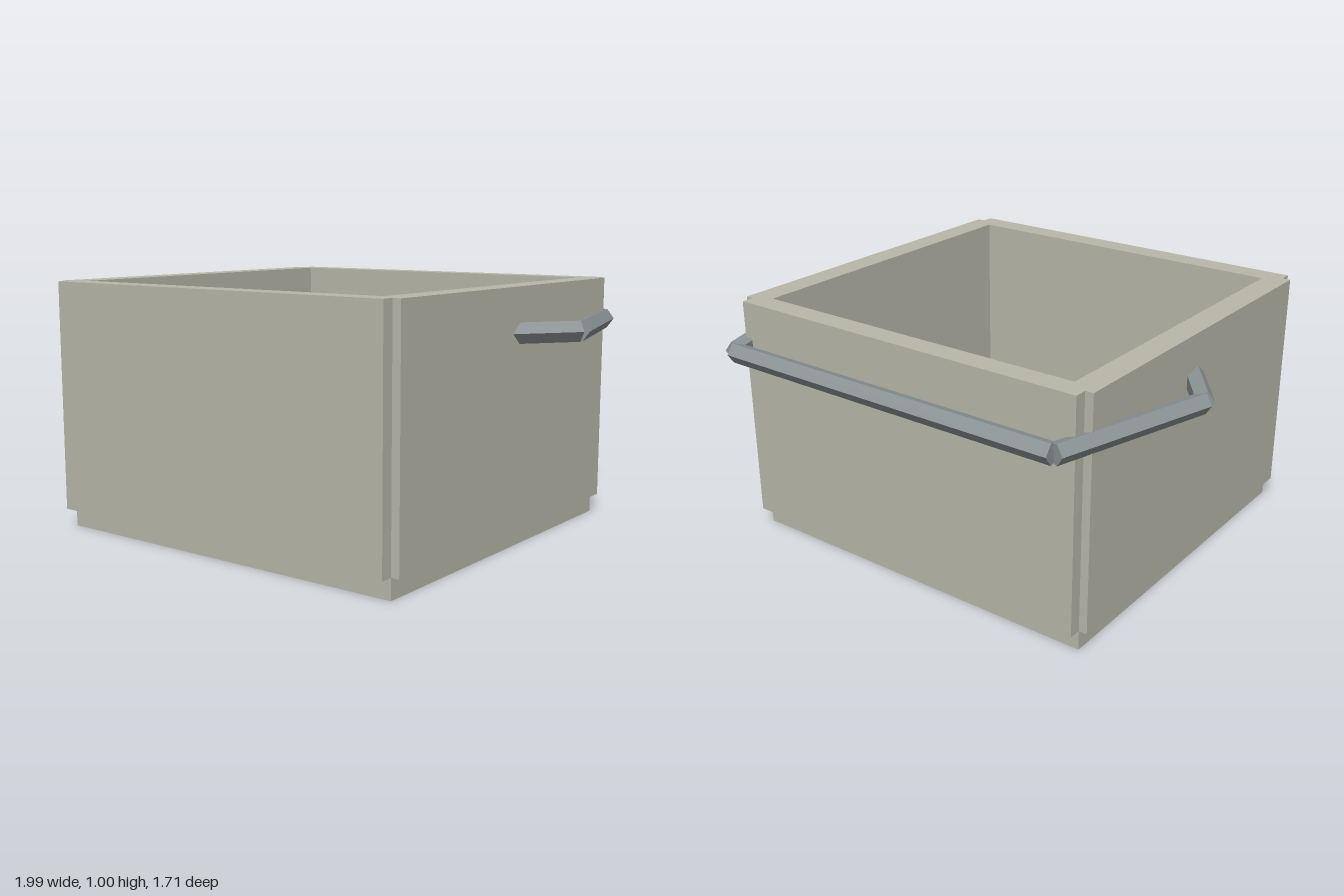
import * as THREE from 'three';

const stone = new THREE.MeshStandardMaterial({ color: 0xb8b7a9, flatShading: true });
stone.name = 'pale stone';
const metal = new THREE.MeshStandardMaterial({ color: 0x8c9496, flatShading: true });
metal.name = 'grey metal';

// Five-sided bar between two points, with one edge turned towards "outward"
function bar(name, from, to, outward) {
  const dir = to.clone().sub(from);
  const length = dir.length();
  dir.normalize();
  const side = dir.clone().cross(outward).normalize();
  const edge = side.clone().cross(dir).normalize();
  const mesh = new THREE.Mesh(new THREE.CylinderGeometry(0.042, 0.042, length, 5), metal);
  mesh.quaternion.setFromRotationMatrix(new THREE.Matrix4().makeBasis(side, dir, edge));
  mesh.position.copy(from).add(to).multiplyScalar(0.5);
  mesh.name = name;
  return mesh;
}

export function createModel() {
  const group = new THREE.Group();
  group.name = 'handledBox';
  const v = (x, y, z) => new THREE.Vector3(x, y, z);

  // Walls: a rectangle with stepped corners and an open middle (shape y is -z)
  const outline = [
    [-0.785, -0.855], [0.785, -0.855], [0.785, -0.805], [0.818, -0.805],
    [0.818, 0.68], [0.785, 0.68], [0.785, 0.73], [-0.785, 0.73],
    [-0.785, 0.68], [-0.818, 0.68], [-0.818, -0.805], [-0.785, -0.805],
  ];
  const inner = [[-0.715, -0.755], [-0.715, 0.637], [0.715, 0.637], [0.715, -0.755]];
  const points = (list) => list.map(([x, y]) => new THREE.Vector2(x, y));
  const shape = new THREE.Shape(points(outline));
  shape.holes.push(new THREE.Path(points(inner)));
  const wallGeometry = new THREE.ExtrudeGeometry(shape, { depth: 0.92, bevelEnabled: false });
  wallGeometry.rotateX(-Math.PI / 2).translate(0, 0.08, 0);
  const walls = new THREE.Mesh(wallGeometry, stone);
  walls.name = 'walls';
  group.add(walls);

  // Recessed base, whose top is the floor
  const base = new THREE.Mesh(new THREE.BoxGeometry(1.57, 0.08, 1.485), stone);
  base.position.set(0, 0.04, 0.0625);
  base.name = 'base';
  group.add(base);

  // Bent carrying handle
  const handle = new THREE.Group();
  handle.name = 'handle';
  handle.add(bar('handleGrip', v(-0.756, 0.82, -0.813), v(0.756, 0.82, -0.813), v(0, 0, -1)));
  for (const s of [-1, 1]) {
    const elbow = v(s * 0.955, 0.827, -0.177);
    handle.add(bar('handleArm', v(s * 0.76, 0.82, -0.813), elbow, v(s * 0.956, 0, -0.294)));
    handle.add(bar('handleMount', elbow, v(s * 0.77, 0.827, 0.075), v(s * 0.804, 0, 0.594)));
  }
  group.add(handle);
  return group;
}
